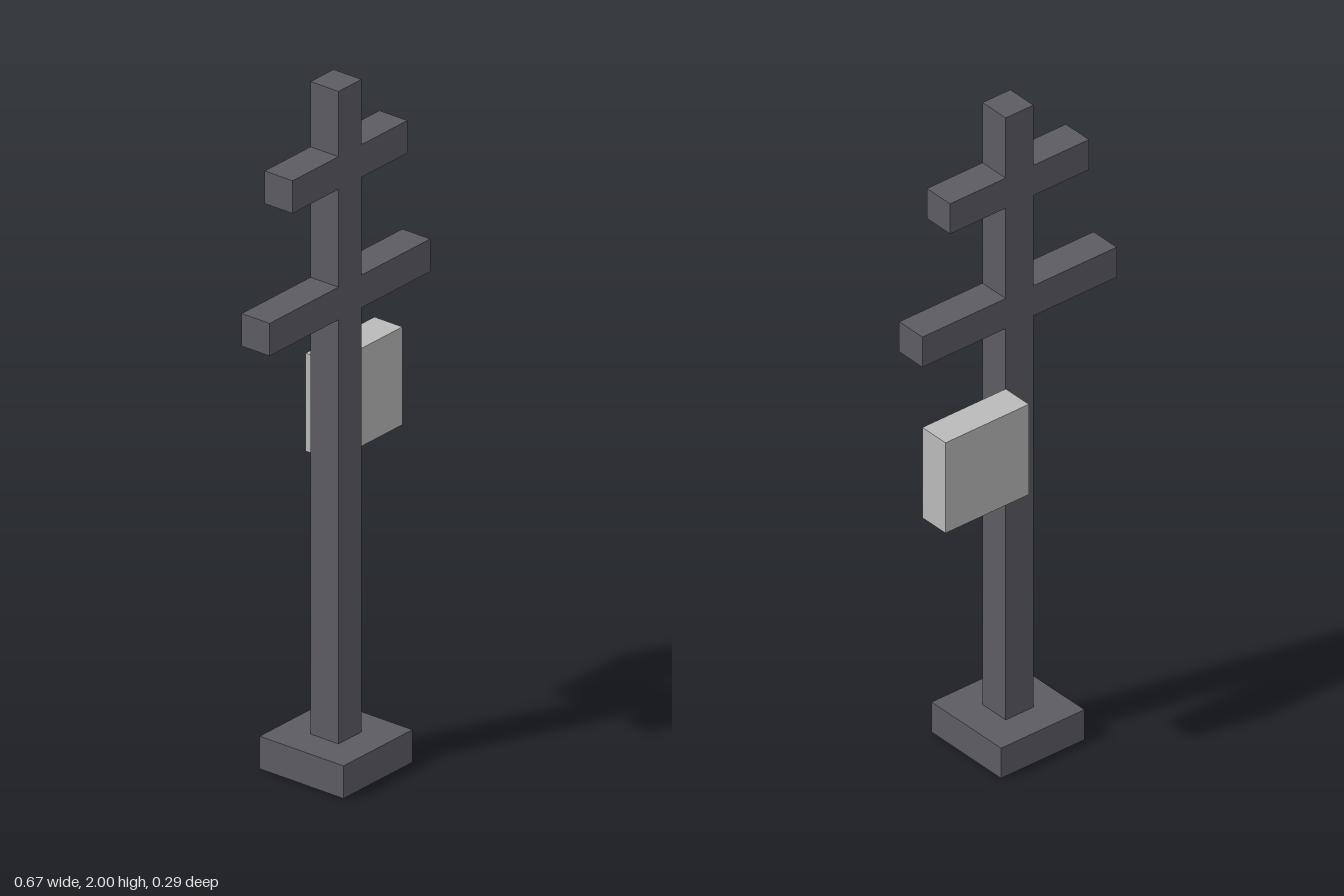
import * as THREE from 'three';

// Everything sits on a cubic grid, 21 cells tall.
const U = 2 / 21;

export function createModel() {
  const model = new THREE.Group();
  model.name = 'signalPost';

  const darkGrey = new THREE.MeshStandardMaterial({ color: 0x5d5c62 });
  darkGrey.name = 'dark grey';
  const lightGrey = new THREE.MeshStandardMaterial({ color: 0xb9bbb9 });
  lightGrey.name = 'light grey';

  // Box from its lower and upper corners, in grid cells
  function block(name, material, [x0, y0, z0], [x1, y1, z1]) {
    const geometry = new THREE.BoxGeometry((x1 - x0) * U, (y1 - y0) * U, (z1 - z0) * U);
    const mesh = new THREE.Mesh(geometry, material);
    mesh.name = name;
    mesh.position.set((x0 + x1) / 2, (y0 + y1) / 2, (z0 + z1) / 2).multiplyScalar(U);
    model.add(mesh);
  }

  // Square foot and tall post
  block('base', darkGrey, [-1.5, 0, -1.5], [1.5, 1, 1.5]);
  block('post', darkGrey, [-0.5, 1, -0.5], [0.5, 21, 0.5]);

  // Crossarms, one half on each side of the post
  for (const [name, y, reach] of [['lowerCrossarm', 14, 3.5], ['upperCrossarm', 18, 2.5]]) {
    block(name + 'Left', darkGrey, [0.5, y, -0.5], [reach, y + 1, 0.5]);
    block(name + 'Right', darkGrey, [-reach, y, -0.5], [-0.5, y + 1, 0.5]);
  }

  // Equipment box at the rear left corner of the post
  block('equipmentBox', lightGrey, [0.5, 9, -1.5], [3.5, 12, -0.5]);

  return model;
}
